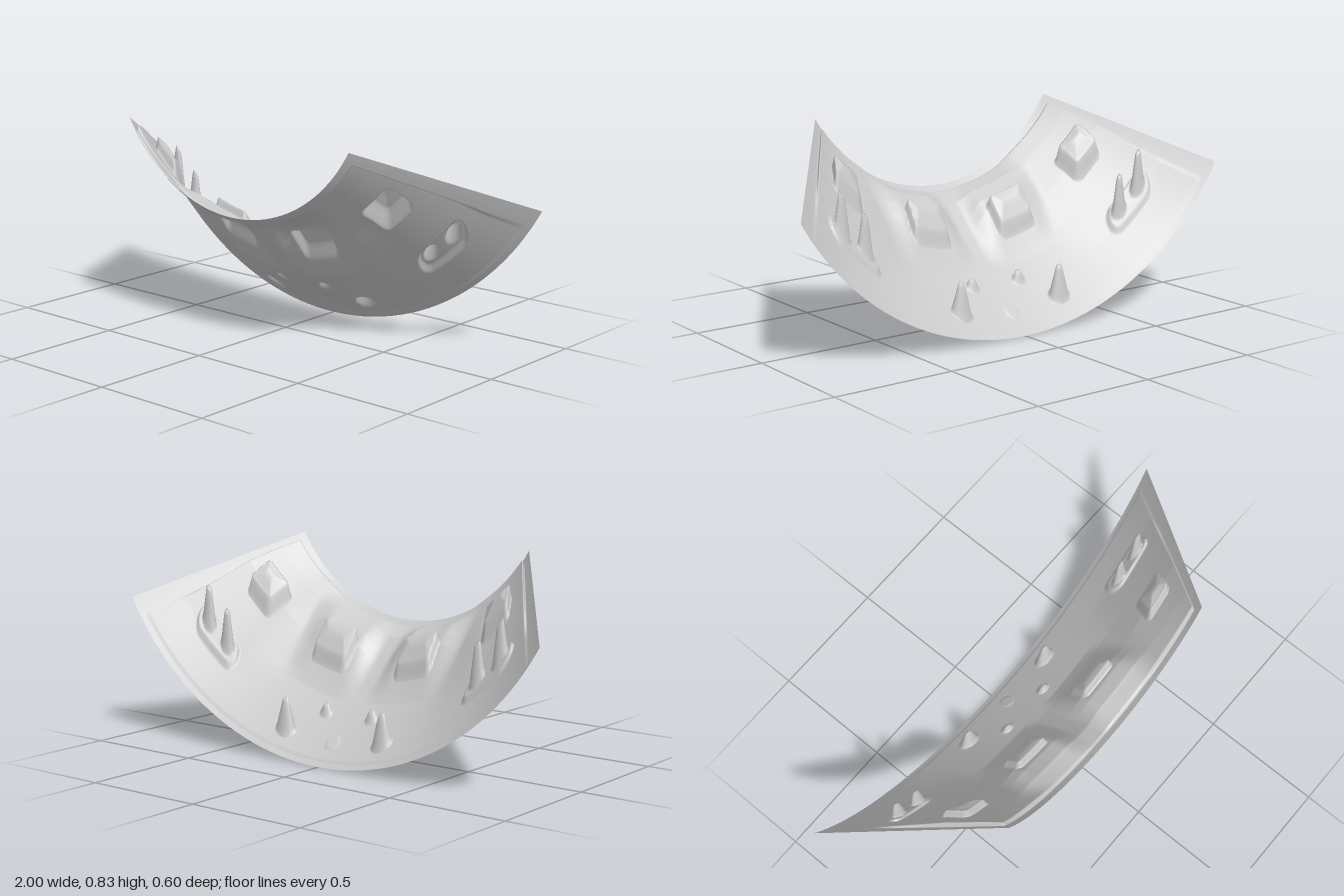
import * as THREE from 'three';

const AXIS_Y = 1.1547;              // height of the cone axis
const HALF_ANGLE = Math.PI / 3;     // sheet spans 120 degrees
const BACK_R = 1.1547, FRONT_R = 0.652, HALF_DEPTH = 0.3;

const smooth = THREE.MathUtils.smoothstep;
const clamp = THREE.MathUtils.clamp;

// Piecewise linear curve through [position, height] pairs
function ramp(t, points) {
  if (t <= points[0][0]) return points[0][1];
  for (let i = 1; i < points.length; i++) {
    const [a, ha] = points[i - 1], [b, hb] = points[i];
    if (t <= b) return ha + (hb - ha) * (t - a) / (b - a);
  }
  return points[points.length - 1][1];
}

// Signed distance to a rounded rectangle (negative inside)
function roundedRect(x, z, hw, hd, r) {
  const qx = Math.abs(x) - hw + r, qz = Math.abs(z) - hd + r;
  return Math.hypot(Math.max(qx, 0), Math.max(qz, 0)) + Math.min(Math.max(qx, qz), 0) - r;
}

// Mirrored features, given for the +x side
const windows = [
  { x: 0.205, z: 0.062, hw: 0.088, hd: 0.049, skew: 0.1, h: 0.065 },
  { x: 0.568, z: 0.076, hw: 0.062, hd: 0.052, skew: 0.5, h: 0.085 },
];
const spikes = [
  { x: 0.24, z: -0.21, rx: 0.044, rz: 0.03, tip: 0.3, h: 0.12 },
  { x: 0.113, z: -0.11, rx: 0.028, rz: 0.02, tip: 0.45, h: 0.035 },
  { x: 0.622, z: -0.13, rx: 0.032, rz: 0.02, tip: 0.4, h: 0.14 },
  { x: 0.722, z: -0.13, rx: 0.032, rz: 0.02, tip: 0.4, h: 0.14 },
];
const slot = { x: 0.672, z: -0.134, hw: 0.104, hd: 0.039, h: 0.022 };

// Height pressed upward into the sheet
function pressing(x, z, theta) {
  const ax = Math.abs(x), deg = Math.abs(theta) * 180 / Math.PI;

  // Wide recessed panel with a plain border
  const border = (1 - smooth(deg, 54.6, 56)) * (1 - smooth(z, 0.262, 0.273)) * smooth(z, -0.281, -0.272);
  const middle = ramp(z, [[-0.27, 0.004], [-0.02, 0.004], [0.19, 0.033], [0.265, 0.008]]);
  const side = ramp(z, [[-0.27, 0.004], [-0.15, 0.008], [0.08, 0.048], [0.2, 0.045], [0.265, 0.036]]);
  let h = border * THREE.MathUtils.lerp(middle, side, smooth(deg, 22, 36));

  // Raised blocks around the inner windows
  const block = ramp(z, [[-0.05, 0], [0.0, 0.022], [0.09, 0.064], [0.13, 0.062], [0.2, 0.03], [0.265, 0.008]]);
  h += border * block * smooth(ax, 0.02, 0.12) * (1 - smooth(ax, 0.28, 0.4));

  // Window pockets with sloping walls and softly domed ends
  for (const w of windows) {
    const dz = z - w.z;
    const d = roundedRect(ax - w.x + w.skew * dz, dz, w.hw, w.hd, 0.022);
    h += w.h * (0.75 * clamp(-d / 0.012, 0, 1) + 0.25 * smooth(-d, 0.008, 0.05));
  }

  // Long slot that holds the paired spikes
  h += slot.h * clamp(-roundedRect(ax - slot.x, z - slot.z, slot.hw, slot.hd, 0.038) / 0.008, 0, 1);

  // Hollow spikes
  for (const s of spikes) {
    const d = Math.hypot((ax - s.x) / s.rx, (z - s.z) / s.rz);
    h += s.h * clamp((1 - d) / (1 - s.tip), 0, 1);
  }

  // Shallow round mark on the centre line
  h += 0.004 * (1 - smooth(Math.hypot(x, z + 0.21), 0.024, 0.03));
  return h;
}

export function createModel() {
  const group = new THREE.Group();
  group.name = 'conicalPanel';

  // Conical sheet pressed by the features above
  const geometry = new THREE.PlaneGeometry(1, 1, 360, 150);
  const pos = geometry.attributes.position;
  for (let i = 0; i < pos.count; i++) {
    const theta = pos.getX(i) * 2 * HALF_ANGLE;
    const z = pos.getY(i) * 2 * HALF_DEPTH;
    const r = THREE.MathUtils.mapLinear(z, -HALF_DEPTH, HALF_DEPTH, BACK_R, FRONT_R);
    const x = r * Math.sin(theta);
    pos.setXYZ(i, x, AXIS_Y - r * Math.cos(theta) + pressing(x, z, theta), z);
  }
  geometry.computeVertexNormals();

  const material = new THREE.MeshStandardMaterial({ color: 0xcccccc, side: THREE.DoubleSide });
  const sheet = new THREE.Mesh(geometry, material);
  sheet.name = 'pressedSheet';
  group.add(sheet);
  return group;
}
